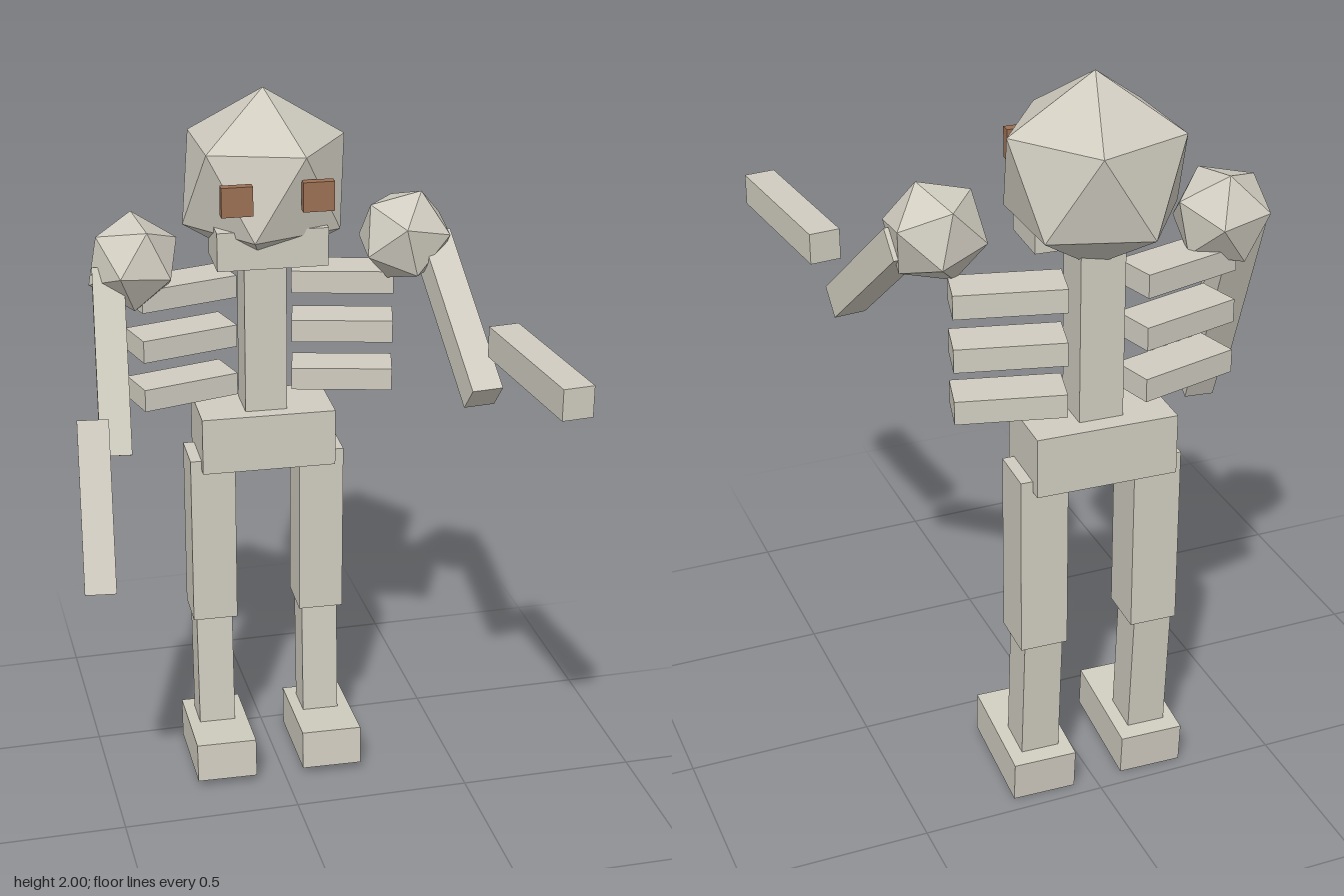
import * as THREE from 'three';

export function createModel() {
  const root = new THREE.Group();
  root.name = 'skeleton';
  const bone = new THREE.MeshStandardMaterial({ color: 0xd0ccc0 });
  bone.name = 'bone';
  const rust = new THREE.MeshStandardMaterial({ color: 0x9c7054 });
  rust.name = 'rust brown';
  const midX = -0.013; // body midline
  const twist = -0.035; // slight turn of the body

  const place = (geometry, name, pos, pitch, yaw, material = bone) => {
    const mesh = new THREE.Mesh(geometry, material);
    mesh.name = name;
    mesh.position.set(...pos);
    mesh.rotation.set(pitch, yaw, 0, 'YXZ');
    root.add(mesh);
    return mesh;
  };
  const box = (name, size, pos, pitch = 0, yaw = 0, material = bone) =>
    place(new THREE.BoxGeometry(...size), name, pos, pitch, yaw, material);

  // Faceted ball standing on one of its corners
  const ball = (name, radius, pos, pitch = 0, yaw = 0) => {
    const geometry = new THREE.IcosahedronGeometry(radius, 0);
    geometry.rotateZ(-Math.atan(2 / (1 + Math.sqrt(5))));
    return place(geometry, name, pos, pitch, yaw);
  };

  // Head and jaw
  ball('head', 0.25, [-0.007, 1.75, -0.38]);
  box('jaw', [0.3, 0.106, 0.16], [midX, 1.603, -0.297], 0, -0.05);

  // Spine and pelvis
  box('spine', [0.117, 0.5, 0.117], [-0.014, 1.32, -0.376], 0, twist);
  box('pelvis', [0.376, 0.163, 0.208], [midX, 1.02, -0.381], 0, twist);

  for (const side of [-1, 1]) {
    const label = side > 0 ? 'left' : 'right';
    const x = (offset) => midX + side * offset;

    box(label + 'Eye', [0.084, 0.08, 0.026], [x(0.109) - 0.003, 1.76, -0.166], 0, twist, rust);

    // Ribs sweep forward at their outer ends
    [1.46, 1.317, 1.175].forEach((y, i) =>
      box(label + 'Rib' + (i + 1), [0.28, 0.063, 0.12], [x(0.227), y, -0.375], 0, -side * 0.25));

    // Legs
    box(label + 'Thigh', [0.127, 0.5, 0.138], [x(0.156), 0.718, -0.378], 0, twist);
    box(label + 'Shin', [0.104, 0.38, 0.111], [x(0.156), 0.3, -0.375], -0.07, twist);
    box(label + 'Foot', [0.172, 0.114, 0.31], [x(0.156), 0.07, -0.307], -0.075, twist);
  }

  // Arms: each is posed separately, shoulder and upper arm share one pitch
  const arms = [
    { label: 'right', yaw: -0.12, raise: -0.42, bend: -0.434,
      shoulder: [-0.375, 1.56, -0.337], upper: [-0.456, 1.318, -0.231], fore: [-0.548, 1.024, 0.038] },
    { label: 'left', yaw: 0.095, raise: -0.89, bend: -Math.PI / 2,
      shoulder: [0.356, 1.603, -0.262], upper: [0.45, 1.43, -0.065], fore: [0.538, 1.43, 0.352] },
  ];
  for (const arm of arms) {
    ball(arm.label + 'Shoulder', 0.134, arm.shoulder, arm.raise, arm.yaw);
    box(arm.label + 'UpperArm', [0.085, 0.5, 0.085], arm.upper, arm.raise, arm.yaw);
    box(arm.label + 'Forearm', [0.083, 0.453, 0.083], arm.fore, arm.bend, arm.yaw);
  }
  return root;
}
